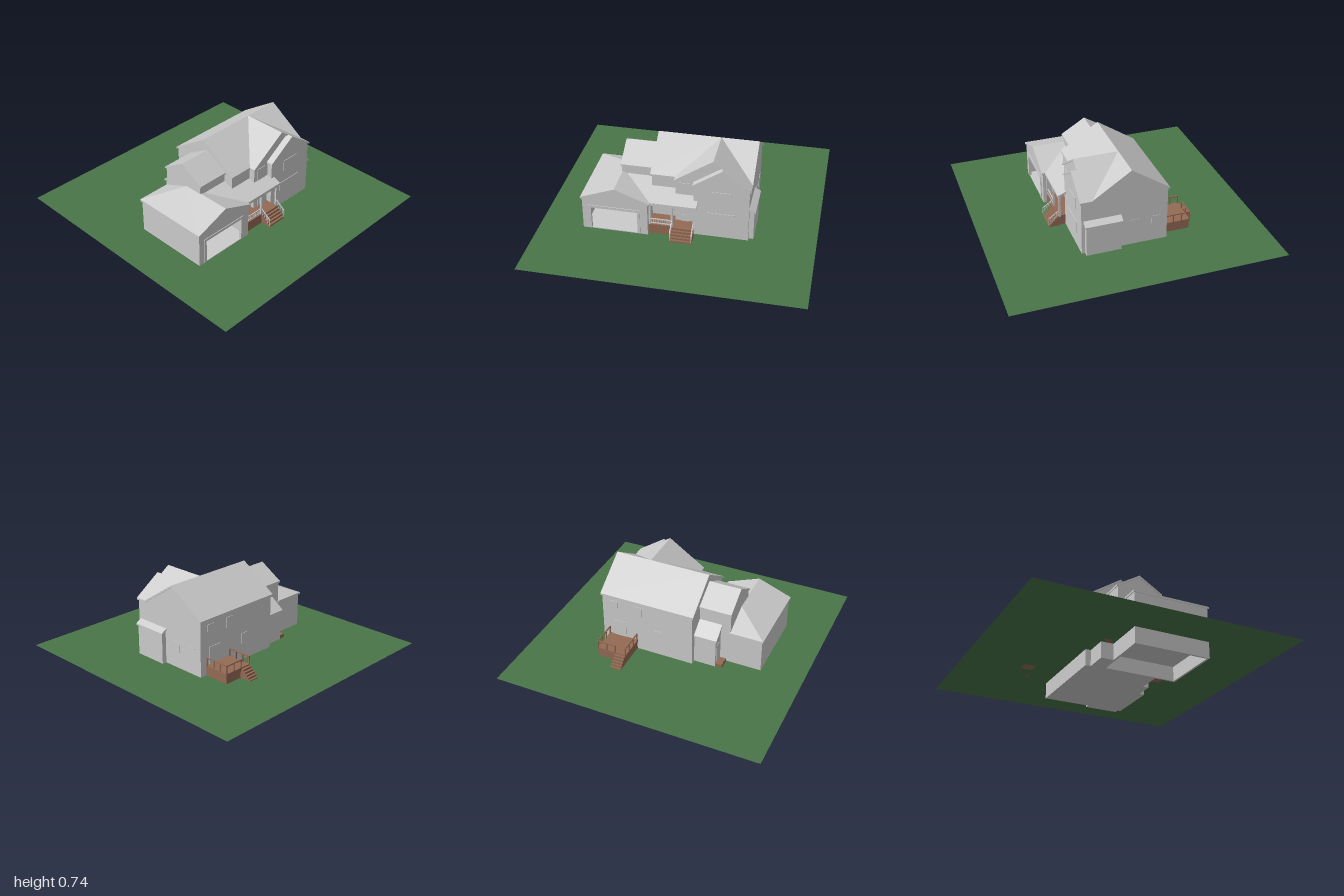
import * as THREE from 'three';

const GREY = new THREE.MeshStandardMaterial({ color: 0xcccccc, flatShading: true, side: THREE.DoubleSide });
const WOOD = new THREE.MeshStandardMaterial({ color: 0x946a55, flatShading: true });
const GRASS = new THREE.MeshStandardMaterial({ color: 0x4a7548, side: THREE.DoubleSide });

export function createModel() {
  const model = new THREE.Group();
  model.name = 'house';

  const add = (name, geometry, material = GREY) => {
    const mesh = new THREE.Mesh(geometry, material);
    mesh.name = name;
    model.add(mesh);
    return mesh;
  };

  // Box given by its two extreme corners
  const box = (name, x0, x1, y0, y1, z0, z1, material = GREY) => {
    const mesh = add(name, new THREE.BoxGeometry(x1 - x0, y1 - y0, z1 - z0), material);
    mesh.position.set((x0 + x1) / 2, (y0 + y1) / 2, (z0 + z1) / 2);
    return mesh;
  };

  // Sloped convex slab: polygon of top corners, thickened downwards
  const slab = (name, corners, t = 0.015) => {
    let p = corners.map((c) => new THREE.Vector3(...c));
    const n = p[1].clone().sub(p[0]).cross(p[2].clone().sub(p[0]));
    if (n.y < 0) p.reverse();
    const low = p.map((v) => new THREE.Vector3(v.x, v.y - t, v.z));
    const tris = [];
    p.forEach((v, i) => {
      const j = (i + 1) % p.length;
      tris.push(v, low[i], low[j], v, low[j], p[j]);
      if (i > 0 && i < p.length - 1) tris.push(p[0], v, p[i + 1], low[0], low[i + 1], low[i]);
    });
    const geometry = new THREE.BufferGeometry().setFromPoints(tris);
    geometry.computeVertexNormals();
    return add(name, geometry);
  };

  // Straight wooden rail between two points
  const rail = (name, a, b, w = 0.008, material = WOOD) => {
    const from = new THREE.Vector3(...a), to = new THREE.Vector3(...b);
    const mesh = add(name, new THREE.BoxGeometry(w, w, from.distanceTo(to)), material);
    mesh.position.copy(from).add(to).multiplyScalar(0.5);
    mesh.lookAt(to);
    return mesh;
  };

  const shapeOf = (pts) => new THREE.Shape(pts.map(([x, y]) => new THREE.Vector2(x, y)));

  // Wall profile in x,y extruded from z0 to z1
  const alongZ = (name, shape, z0, z1) => {
    add(name, new THREE.ExtrudeGeometry(shape, { depth: z1 - z0, bevelEnabled: false })).position.z = z0;
  };
  // Wall profile in z,y extruded from x0 to x1
  const alongX = (name, pts, x0, x1) => {
    const g = new THREE.ExtrudeGeometry(shapeOf(pts.map(([z, y]) => [-z, y])), { depth: x1 - x0, bevelEnabled: false });
    g.rotateY(Math.PI / 2);
    add(name, g).position.x = x0;
  };

  // Lawn
  const lawn = add('lawn', new THREE.PlaneGeometry(2, 2).rotateX(-Math.PI / 2), GRASS);
  lawn.position.y = 0.122;

  // Foundations
  const F = 0.165;
  box('foundation', -0.2, 0.515, 0, F, -0.275, 0.275);
  box('foundation', -0.02, 0.515, 0, F, 0.27, 0.32);
  box('foundation', 0.12, 0.515, 0, F, 0.315, 0.36);
  box('bayFoundation', 0.51, 0.55, 0, F, 0.08, 0.335);
  box('backEntryFoundation', -0.365, -0.2, 0, F, -0.235, -0.14);
  box('garageFoundation', -0.68, -0.665, 0, F, -0.14, 0.435);
  box('garageFoundation', -0.68, -0.2, 0, F, -0.14, -0.125);
  box('garageFoundation', -0.68, -0.2, 0, 0.126, 0.42, 0.435);
  box('garageFoundation', -0.215, -0.2, 0, F, -0.14, 0.435);
  box('garageFloor', -0.68, -0.2, 0.11, 0.126, -0.14, 0.435);

  // House walls
  alongX('mainWalls', [[-0.275, F], [0.275, F], [0.275, 0.54], [0, 0.722], [-0.275, 0.54]], -0.2, 0.515);
  alongZ('frontGableWalls', shapeOf([[-0.02, F], [0.515, F], [0.515, 0.54], [0.25, 0.722], [-0.02, 0.54]]), 0.2, 0.32);
  alongZ('projectingGableWalls', shapeOf([[0.12, F], [0.515, F], [0.515, 0.54], [0.32, 0.675], [0.12, 0.54]]), 0.3, 0.36);
  alongX('sideWingWalls', [[-0.14, 0.38], [0.2, 0.38], [0.2, 0.545], [0.03, 0.648], [-0.14, 0.545]], -0.44, -0.2);

  // Garage: gabled front with a door opening, thin walls around an empty room
  const front = shapeOf([[-0.68, 0.126], [-0.2, 0.126], [-0.2, 0.378], [-0.435, 0.472], [-0.68, 0.378]]);
  front.holes.push(shapeOf([[-0.615, 0.128], [-0.615, 0.305], [-0.275, 0.305], [-0.275, 0.128]]));
  alongZ('garageFront', front, 0.42, 0.435);
  box('garageSideWall', -0.68, -0.665, F, 0.38, -0.14, 0.43);
  box('garageSideWall', -0.215, -0.2, F, 0.38, -0.14, 0.43);
  box('garageBackWall', -0.68, -0.2, F, 0.38, -0.14, -0.125);
  box('garageDoorTrim', -0.635, -0.255, 0.305, 0.325, 0.434, 0.44);
  for (const x of [-0.635, -0.275]) box('garageDoorTrim', x, x + 0.02, 0.126, 0.305, 0.434, 0.44);
  for (let i = 0; i < 3; i++) box('garageStep', -0.31 + i * 0.015, -0.215, 0.126, 0.14 + i * 0.013, 0.02, 0.12, WOOD);

  // Main roof and front gables, meeting in valleys
  const E = 0.545, R = 0.735;
  slab('mainRoofBack', [[-0.21, E, -0.285], [0.525, E, -0.285], [0.525, R, 0], [-0.21, R, 0]]);
  slab('mainRoofFront', [[-0.21, R, 0], [0.25, R, 0], [-0.03, E, 0.285], [-0.21, E, 0.285]]);
  slab('mainRoofFront', [[0.25, R, 0], [0.525, R, 0], [0.525, E, 0.285]]);
  slab('frontGableRoof', [[0.25, R, 0], [0.25, R, 0.33], [-0.03, E, 0.33], [-0.03, E, 0.285]]);
  slab('frontGableRoof', [[0.25, R, 0], [0.525, E, 0.285], [0.525, E, 0.33], [0.25, R, 0.33]]);
  slab('projectingGableRoof', [[0.32, 0.687, 0.33], [0.525, E, 0.33], [0.525, E, 0.37], [0.32, 0.687, 0.37]]);
  slab('projectingGableRoof', [[0.32, 0.687, 0.31], [0.11, E, 0.31], [0.11, E, 0.37], [0.32, 0.687, 0.37]]);

  // Side wing roof
  for (const z of [-0.15, 0.21])
    slab('sideWingRoof', [[-0.445, 0.55, z], [-0.2, 0.55, z], [-0.2, 0.66, 0.03], [-0.445, 0.66, 0.03]]);

  // Garage roof with hipped back, joined to the porch roof
  const G = 0.39, T = 0.487;
  const porchY = (z) => G + (0.42 - z) * 0.385;
  slab('garageRoof', [[-0.69, G, 0.445], [-0.435, T, 0.445], [-0.435, T, 0.07], [-0.69, G, -0.15]]);
  slab('garageRoofHip', [[-0.69, G, -0.15], [-0.435, T, 0.07], [-0.435, G, -0.15]]);
  slab('garageRoof', [[-0.435, T, 0.445], [-0.435, T, 0.18], [-0.4, 0.4736, 0.2], [-0.185, G, 0.42], [-0.185, G, 0.445]]);
  slab('porchRoof', [[-0.4, 0.2], [-0.185, 0.42], [0.15, 0.42], [0.15, 0.36], [0.1, 0.2]].map(([x, z]) => [x, porchY(z), z]));

  // Side bay with lean-to roof
  box('bayWalls', 0.51, 0.55, F, 0.365, 0.08, 0.335);
  slab('bayRoof', [[0.51, 0.392, 0.07], [0.56, 0.362, 0.07], [0.56, 0.362, 0.345], [0.51, 0.392, 0.345]], 0.012);

  // Back entry with lean-to roof and stoop
  alongX('backEntryWalls', [[-0.235, F], [-0.13, F], [-0.13, 0.43], [-0.235, 0.355]], -0.365, -0.2);
  slab('backEntryRoof', [[-0.375, 0.36, -0.245], [-0.2, 0.36, -0.245], [-0.2, 0.445, -0.13], [-0.375, 0.445, -0.13]]);
  box('backEntryDoor', -0.368, -0.364, F, 0.3, -0.22, -0.165);
  box('backStoop', -0.415, -0.365, 0.122, 0.15, -0.232, -0.15, WOOD);

  // Windows and doors: [x0, x1, y0, y1, wall z, outward direction]
  const openings = [
    [0.215, 0.415, 0.235, 0.325, 0.36, 1], [0.25, 0.385, 0.415, 0.505, 0.36, 1], [0.01, 0.09, 0.43, 0.525, 0.32, 1],
    [-0.175, -0.035, 0.215, 0.355, 0.275, 1],
    [0.39, 0.45, 0.42, 0.5, -0.275, -1], [0.2, 0.26, 0.42, 0.5, -0.275, -1], [0.045, 0.105, 0.25, 0.33, -0.275, -1],
    [0.33, 0.43, 0.2, 0.33, -0.275, -1],
  ];
  for (const [x0, x1, y0, y1, z, d] of openings)
    box('window', x0, x1, y0, y1, z - 0.003, z + 0.003).position.z += d * 0.001;
  for (const z of [-0.06, -0.22]) box('sideWindow', 0.512, 0.518, 0.24, 0.325, z, z + 0.062);
  box('frontDoor', 0.02, 0.08, 0.2, 0.33, 0.318, 0.326);
  for (const y of [0.215, 0.265]) box('doorPanel', 0.032, 0.068, y, y + 0.045, 0.325, 0.329);

  // Front porch: deck, steps, posts, beam and balustrade
  box('porchDeck', -0.2, 0.12, 0.122, 0.2, 0.27, 0.41, WOOD);
  for (let i = 0; i < 5; i++) box('porchStep', -0.03, 0.128, 0.122, 0.2 - i * 0.016, 0.405, 0.425 + i * 0.016, WOOD);
  for (const x of [-0.19, -0.03, 0.128]) box('porchPost', x - 0.007, x + 0.007, 0.2, 0.38, 0.396, 0.41);
  box('porchBeam', -0.2, 0.14, 0.36, 0.385, 0.395, 0.412);
  for (const y of [0.21, 0.245]) rail('porchRail', [-0.19, y, 0.403], [-0.03, y, 0.403], 0.007, GREY);
  for (let i = 1; i < 12; i++) rail('baluster', [-0.19 + i * 0.0133, 0.21, 0.403], [-0.19 + i * 0.0133, 0.245, 0.403], 0.004, GREY);
  for (const x of [-0.03, 0.126]) {
    rail('stairRail', [x, 0.25, 0.405], [x, 0.19, 0.488], 0.006, GREY);
    for (let i = 0; i < 5; i++) {
      const z = 0.424 + i * 0.016;
      rail('stairBaluster', [x, 0.195 - i * 0.016, z], [x, 0.236 - i * 0.0116, z], 0.004, GREY);
    }
  }

  // Back deck with steps and railing
  box('deck', 0.235, 0.465, 0.18, 0.2, -0.475, -0.275, WOOD);
  box('deckSkirt', 0.24, 0.46, 0.122, 0.18, -0.47, -0.275, WOOD);
  for (let i = 0; i < 5; i++) box('deckStep', 0.238, 0.32, 0.122, 0.19 - i * 0.015, -0.495 - i * 0.016, -0.47, WOOD);
  const posts = [];
  for (const z of [-0.285, -0.348, -0.411, -0.471]) posts.push([0.239, z], [0.461, z]);
  posts.push([0.32, -0.471], [0.39, -0.471]);
  for (const [x, z] of posts) rail('deckPost', [x, 0.2, z], [x, 0.26, z]);
  for (const x of [0.239, 0.461]) rail('deckRail', [x, 0.258, -0.28], [x, 0.258, -0.475]);
  rail('deckRail', [0.32, 0.258, -0.471], [0.465, 0.258, -0.471]);

  return model;
}
